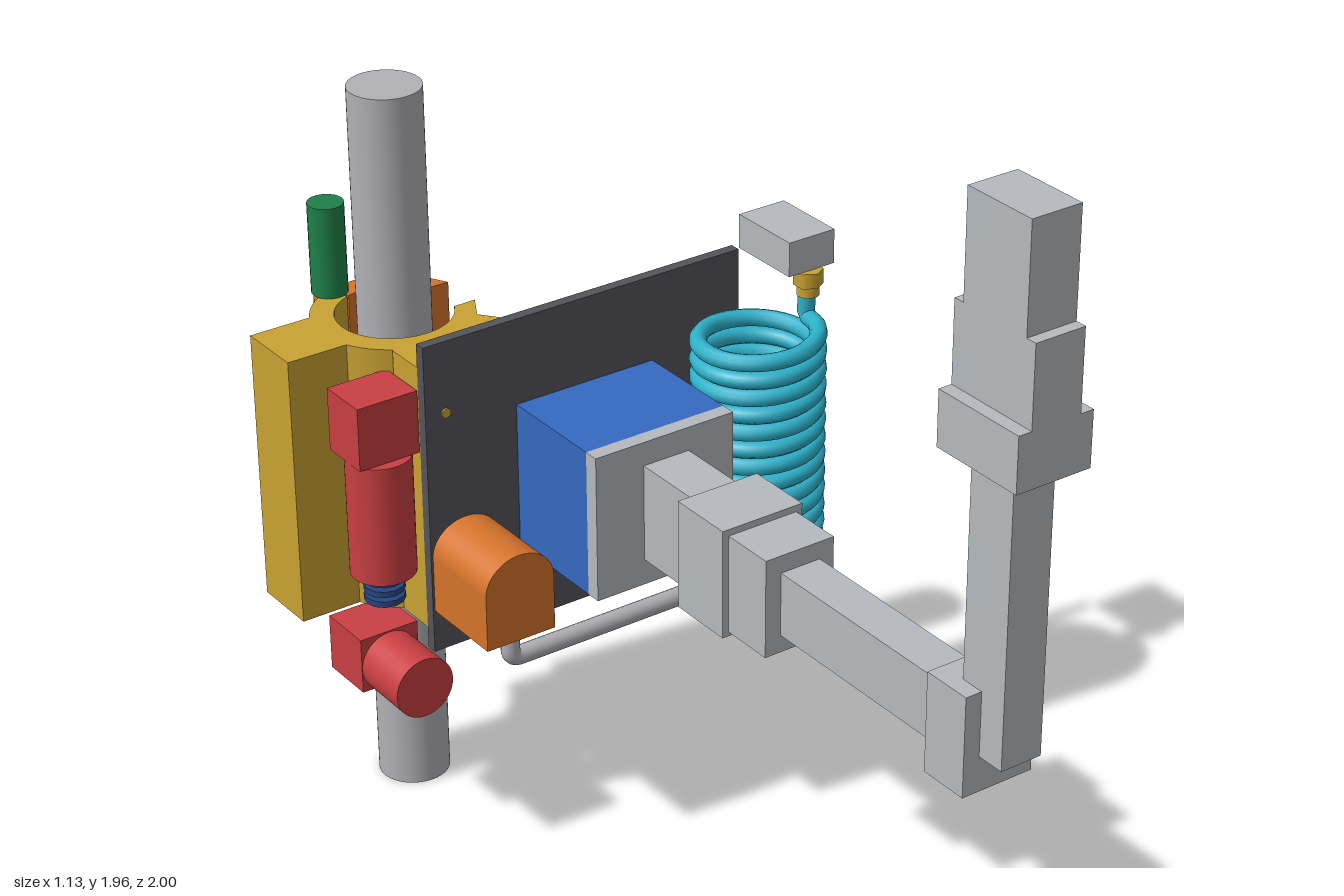
import * as THREE from 'three';

const mat = (name, color) => {
  const m = new THREE.MeshStandardMaterial({ color });
  m.name = name;
  return m;
};

export function createModel() {
  const root = new THREE.Group();
  root.name = 'poleMountedArm';
  const M = {
    light: mat('lightGrey', 0xb6b9bd), metal: mat('poleMetal', 0xb0b0b6), dark: mat('darkGrey', 0x55545b),
    blue: mat('blue', 0x3569c0), navy: mat('navy', 0x27457f), cyan: mat('cyan', 0x2db1ca),
    yellow: mat('yellow', 0xc9a233), orange: mat('orange', 0xd5732b), red: mat('red', 0xc93f42),
    green: mat('green', 0x1f8049),
  };
  const add = (name, geo, m) => {
    const mesh = new THREE.Mesh(geo, m);
    mesh.name = name;
    root.add(mesh);
    return mesh;
  };
  // box given by its limits on each axis
  const box = (name, m, x0, x1, y0, y1, z0, z1) => {
    const b = add(name, new THREE.BoxGeometry(x1 - x0, y1 - y0, z1 - z0), m);
    b.position.set((x0 + x1) / 2, (y0 + y1) / 2, (z0 + z1) / 2);
    return b;
  };
  // cylinder centred on a point, along the chosen axis
  const cyl = (name, m, r, len, x, y, z, axis = 'y', sides = 32) => {
    const c = add(name, new THREE.CylinderGeometry(r, r, len, sides), m);
    if (axis === 'z') c.rotation.x = Math.PI / 2;
    if (axis === 'x') c.rotation.z = Math.PI / 2;
    c.position.set(x, y, z);
    return c;
  };
  const rad = THREE.MathUtils.degToRad;
  const V = (x, y, z) => new THREE.Vector3(x, y, z);

  // pole
  const PX = -0.265, PZ = -0.775;
  cyl('pole', M.metal, 0.08, 1.665, PX, 0.8325, PZ, 'y', 48);

  // mounting plate with corner screws
  box('mountingPlate', M.dark, -0.365, 0.44, 0.47, 1.2, -0.525, -0.5);
  for (const x of [-0.315, 0.395]) for (const y of [0.62, 1.035])
    cyl('plateScrew', M.yellow, 0.011, 0.033, x, y, -0.5125, 'z', 16);

  // arm base and jointed arm
  box('armBase', M.blue, -0.14, 0.21, 0.66, 1.0, -0.5, -0.24);
  box('basePlate', M.light, -0.14, 0.21, 0.66, 1.0, -0.24, -0.205);
  const armParts = [
    ['shoulderLink', -0.02, 0.095, 0.72, 0.945, -0.205, -0.02],
    ['shoulderJoint', -0.065, 0.135, 0.71, 0.96, -0.02, 0.135],
    ['shoulderCollar', -0.05, 0.12, 0.72, 0.945, 0.135, 0.26],
    ['upperArm', -0.012, 0.085, 0.76, 0.905, 0.26, 0.77],
    ['elbow', -0.05, 0.12, 0.72, 0.945, 0.77, 0.885],
    ['forearm', -0.012, 0.085, 0.8, 1.43, 0.83, 0.95],
    ['wristJoint', -0.05, 0.125, 1.43, 1.55, 0.775, 1.0],
    ['wristLink', -0.02, 0.095, 1.55, 1.725, 0.775, 1.0],
    ['handBlock', -0.02, 0.095, 1.725, 1.955, 0.8, 0.975],
  ];
  for (const [name, ...lim] of armParts) box(name, M.light, ...lim);

  // coiled hose
  const CX = 0.375, CZ = -0.34, R = 0.129, turns = 13;
  const hose = [V(CX + R, 0.525, CZ)];
  for (let i = 0; i <= turns * 16; i++) {
    const t = (i / 16) * Math.PI * 2;
    hose.push(V(CX + R * Math.cos(t), 0.55 + (0.54 * i) / (turns * 16), CZ - R * Math.sin(t)));
  }
  hose.push(V(CX + R, 1.12, CZ), V(CX + R, 1.16, CZ));
  add('coiledHose', new THREE.TubeGeometry(new THREE.CatmullRomCurve3(hose), 520, 0.0195, 10), M.cyan);
  cyl('hoseFitting', M.yellow, 0.025, 0.05, CX + R, 1.165, CZ + 0.005, 'y', 16);
  cyl('fittingNut', M.yellow, 0.033, 0.035, CX + R, 1.182, CZ + 0.005, 'y', 6);
  box('hoseBlock', M.light, 0.445, 0.565, 1.2, 1.28, -0.505, -0.325);

  // rigid pipe under the plate, rounded at both corners
  const pipe = new THREE.CurvePath();
  const pts = [V(0.505, 0.55, CZ), V(0.505, 0.525, CZ), V(0.505, 0.502, CZ), V(0.48, 0.502, CZ),
    V(-0.25, 0.502, CZ), V(-0.275, 0.502, CZ), V(-0.275, 0.525, CZ), V(-0.275, 0.6, CZ)];
  pipe.add(new THREE.LineCurve3(pts[0], pts[1]));
  pipe.add(new THREE.QuadraticBezierCurve3(pts[1], pts[2], pts[3]));
  pipe.add(new THREE.LineCurve3(pts[3], pts[4]));
  pipe.add(new THREE.QuadraticBezierCurve3(pts[4], pts[5], pts[6]));
  pipe.add(new THREE.LineCurve3(pts[6], pts[7]));
  add('rigidPipe', new THREE.TubeGeometry(pipe, 200, 0.021, 14), M.metal);

  // arched pump housing
  const arch = new THREE.Shape();
  arch.moveTo(-0.36, 0.57);
  arch.lineTo(-0.19, 0.57);
  arch.lineTo(-0.19, 0.7);
  arch.absellipse(-0.275, 0.7, 0.085, 0.075, 0, Math.PI, false);
  const housing = add('pumpHousing', new THREE.ExtrudeGeometry(arch, { depth: 0.205, bevelEnabled: false, curveSegments: 24 }), M.orange);
  housing.position.z = -0.5;

  // pole clamp: profiles seen from above, extruded upwards
  const Y0 = 0.52, H = 0.625;
  const clampPart = (name, m, shape) => {
    const g = new THREE.ExtrudeGeometry(shape, { depth: H, bevelEnabled: false, curveSegments: 28 });
    g.rotateX(-Math.PI / 2);
    add(name, g, m).position.set(PX, Y0, PZ);
  };
  const jaw = (s) => {
    const shape = new THREE.Shape();
    shape.moveTo(0.169, 0.053 * s);
    for (const [x, y] of [[0.135, 0.115], [0.169, 0.159], [0.058, 0.222], [0.03, 0.18]]) shape.lineTo(x, y * s);
    return shape;
  };
  const fixed = jaw(-1);
  for (const [x, y] of [[-0.005, -0.18], [-0.005, -0.25], [-0.1, -0.25], [-0.1, -0.155]]) fixed.lineTo(x, y);
  fixed.absarc(0, 0, 0.18, rad(237), rad(110), true);
  fixed.absarc(0, 0, 0.128, rad(110), rad(335), false);
  clampPart('fixedJaw', M.yellow, fixed);
  const moving = jaw(1);
  moving.absarc(0, 0, 0.18, rad(80), rad(108), false);
  moving.absarc(0, 0, 0.128, rad(108), rad(25), true);
  clampPart('movingJaw', M.orange, moving);
  box('gearbox', M.yellow, -0.57, -0.4, Y0, Y0 + H, -0.855, -0.7);

  // sensor strips and rollers on both jaws
  for (const s of [-1, 1]) {
    const strip = box('sensorStrip', M.metal, -0.036, 0.036, 0.59, 1.07, -0.004, 0.004);
    strip.position.set(PX + 0.1155, 0.83, PZ - 0.1935 * s);
    strip.rotation.y = -s * Math.atan2(0.063, 0.111);
    for (const y of [0.64, 1.02]) {
      const dot = cyl('stripScrew', M.dark, 0.009, 0.004, PX + 0.1178, y, PZ - 0.1975 * s, 'z', 12);
      dot.rotation.z = s * Math.atan2(0.063, 0.111);
    }
    for (const y of [0.62, 1.05]) {
      const roller = cyl('jawRoller', M.orange, 0.03, 0.05, PX + 0.05, y, PZ - 0.098 * s, 'x', 20);
      roller.rotation.y = s * 0.45;
    }
  }

  // hinge knuckles and pin
  const HX = -0.325, HZ = -0.94;
  for (let i = 0; i < 3; i++)
    cyl('hingeKnuckle', i === 1 ? M.yellow : M.orange, 0.036, H / 3, HX, Y0 + (H * (i + 0.5)) / 3, HZ, 'y', 24);
  cyl('hingePin', M.green, 0.04, 0.21, HX, 1.25, HZ, 'y', 24);

  // drive wheels that press on the pole
  for (const y of [0.63, 1.06]) cyl('driveWheel', M.navy, 0.045, 0.05, -0.372, y, PZ, 'x', 20);

  // clamp motor (upright) with its shaft and worm
  box('clampMotorHead', M.red, -0.515, -0.37, 0.95, 1.095, -0.64, -0.52);
  cyl('clampMotorBody', M.red, 0.072, 0.28, -0.4425, 0.81, -0.567, 'y');
  cyl('clampMotorShaft', M.metal, 0.014, 0.08, -0.4425, 1.02, -0.67, 'z', 16);
  cyl('wormShaft', M.metal, 0.012, 0.09, -0.4425, 0.635, -0.567, 'y', 12);
  for (let i = 0; i < 3; i++) cyl('wormThread', M.navy, 0.045, 0.014, -0.4425, 0.608 + i * 0.024, -0.567, 'y', 12);

  // pinions showing at the back of the gearbox
  for (const dx of [-0.024, 0.024]) for (const dy of [-0.018, 0.018])
    cyl('gearPinion', M.navy, 0.023, 0.03, -0.45 + dx, 0.635 + dy, -0.855, 'z', 10);

  // drive motor (lying) under the gearbox
  box('driveMotorHead', M.red, -0.512, -0.37, 0.39, 0.52, -0.69, -0.56);
  cyl('driveMotorBody', M.red, 0.07, 0.14, -0.441, 0.447, -0.49, 'z');

  return root;
}
